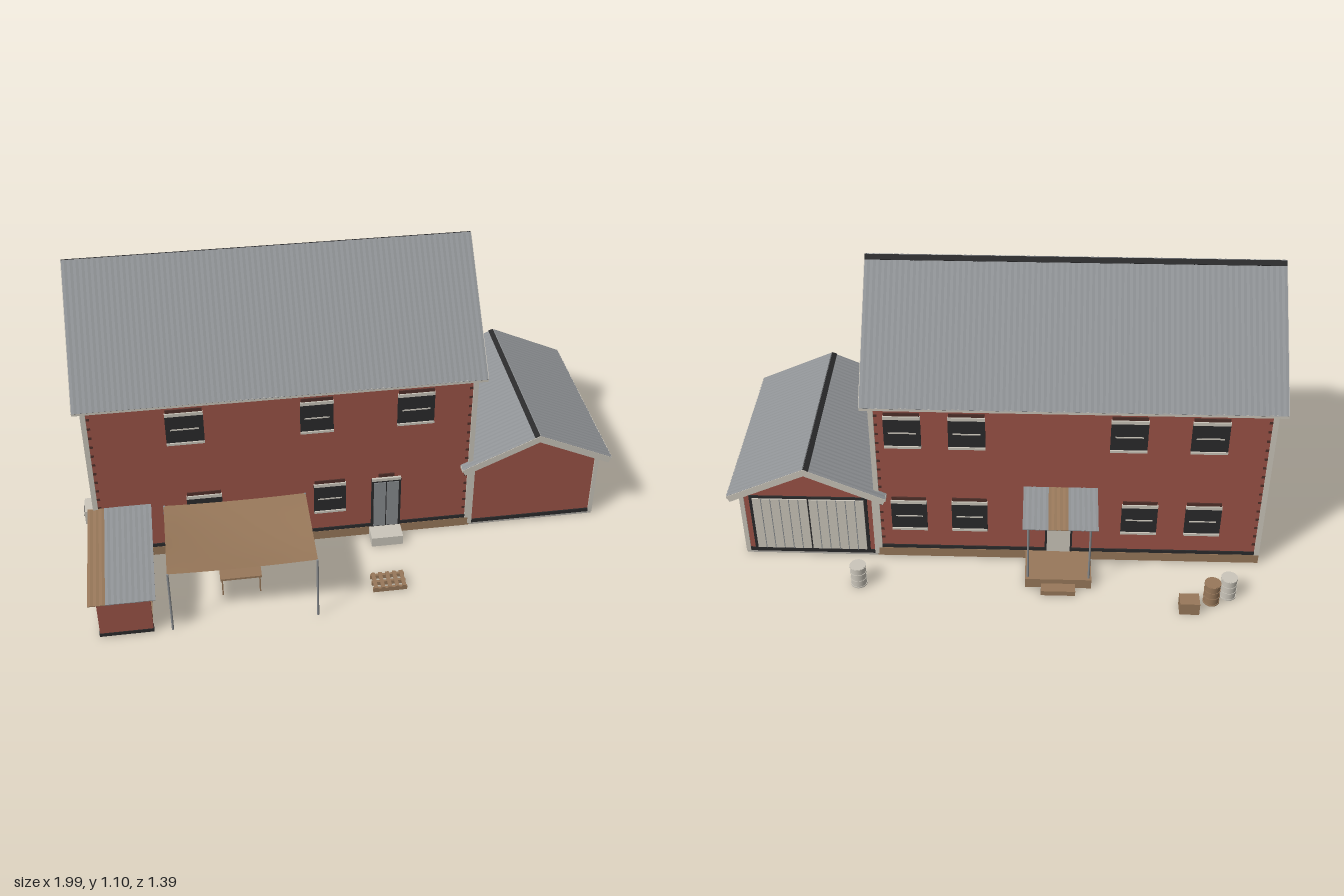
import * as THREE from 'three';

const mat = (name, hex, side = THREE.FrontSide) => {
  const m = new THREE.MeshStandardMaterial({ color: hex, side });
  m.name = name;
  return m;
};

export function createModel() {
  const brick = mat('red brick', 0x9b5347);
  const darkBrick = mat('dark brick', 0x50302a);
  const roofing = mat('grey roofing', 0x909396);
  const trim = mat('cream trim', 0xcac5ba);
  const black = mat('charcoal', 0x2a2a2b);
  const wood = mat('brown wood', 0x98785a);
  const tarp = mat('tarpaulin', 0x98785a, THREE.DoubleSide);
  const metal = mat('door metal', 0x888b8e);
  const concrete = mat('concrete', 0xb4b0a8);

  const model = new THREE.Group();
  model.name = 'farmhouse';

  const add = (parent, name, geo, m, x, y, z) => {
    const mesh = new THREE.Mesh(geo, m);
    mesh.name = name;
    mesh.position.set(x, y, z);
    parent.add(mesh);
    return mesh;
  };
  const box = (parent, name, m, w, h, d, x, y, z) =>
    add(parent, name, new THREE.BoxGeometry(w, h, d), m, x, y, z);
  // box given by its limits
  const span = (parent, name, m, x0, x1, y0, y1, z0, z1) =>
    box(parent, name, m, x1 - x0, y1 - y0, z1 - z0, (x0 + x1) / 2, (y0 + y1) / 2, (z0 + z1) / 2);
  const cyl = (parent, name, m, r, h, x, y, z, n = 16) =>
    add(parent, name, new THREE.CylinderGeometry(r, r, h, n), m, x, y, z);
  const place = (name, x, y, z, ry = 0) => {
    const g = new THREE.Group();
    g.name = name;
    g.position.set(x, y, z);
    g.rotation.y = ry;
    model.add(g);
    return g;
  };

  // ribbed sheet: a thin box whose vertices alternate up and down across its width
  const sheet = (w, d, t) => {
    const n = Math.max(2, Math.round(w / 0.01));
    let geo = new THREE.BoxGeometry(w, t, d, n, 1, 1);
    const p = geo.attributes.position;
    for (let i = 0; i < p.count; i++) {
      const k = Math.round((p.getX(i) / w + 0.5) * n);
      p.setY(i, p.getY(i) + (k % 2 ? 0.0006 : -0.0006));
    }
    geo = geo.toNonIndexed();
    geo.computeVertexNormals();
    return geo;
  };

  // gabled roof with its ridge along local x
  const gabledRoof = (g, len, run, eaveY, ridgeY) => {
    const rise = ridgeY - eaveY, a = Math.atan2(rise, run), L = Math.hypot(run, rise);
    for (const s of [1, -1]) {
      const slope = new THREE.Group();
      slope.name = 'roofSlope';
      slope.position.set(0, (eaveY + ridgeY) / 2 - 0.004, s * run / 2);
      slope.rotation.x = s * a;
      g.add(slope);
      add(slope, 'roofSheet', sheet(len, L, 0.007), roofing, 0, 0, 0);
      for (const e of [1, -1])
        box(slope, 'bargeBoard', trim, 0.012, 0.026, L, e * (len / 2 - 0.004), -0.011, 0);
      box(g, 'gutter', trim, len, 0.012, 0.01, 0, eaveY - 0.006, s * (run - 0.004));
      if (s < 0) box(slope, 'ridgeFlashing', black, len, 0.008, 0.02, 0, 0.002, L / 2 - 0.01);
    }
  };

  // gabled wall block: profile across z, extruded along x
  const gabledWalls = (g, len, half, wallY, peakY, y0) => {
    const s = new THREE.Shape([[-half, y0], [half, y0], [half, wallY], [0, peakY], [-half, wallY]]
      .map(p => new THREE.Vector2(...p)));
    const geo = new THREE.ExtrudeGeometry(s, { depth: len, bevelEnabled: false });
    geo.translate(0, 0, -len / 2).rotateY(Math.PI / 2);
    add(g, 'brickWalls', geo, brick, 0, 0, 0);
  };

  // main house
  const house = place('mainHouse', -0.24, 0, -0.085);
  gabledWalls(house, 1.4, 0.335, 0.74, 1.075, 0.04);
  gabledRoof(house, 1.455, 0.38, 0.716, 1.1);
  box(house, 'plinth', wood, 1.41, 0.038, 0.68, 0, 0.021, 0);
  box(house, 'floorUnderside', black, 1.4, 0.004, 0.67, 0, 0.002, 0);
  box(house, 'dampCourse', black, 1.408, 0.014, 0.678, 0, 0.047, 0);
  for (const sx of [-1, 1]) for (const sz of [-1, 1]) {
    box(house, 'cornerStrip', trim, 0.018, 0.7, 0.018, sx * 0.696, 0.39, sz * 0.333);
    // toothed quoins beside each corner, on both walls
    for (let i = 0; i < 16; i++) {
      const y = 0.09 + i * 0.04;
      box(house, 'quoin', darkBrick, 0.012, 0.01, 0.004, sx * 0.681, y, sz * 0.334);
      box(house, 'quoin', darkBrick, 0.004, 0.01, 0.012, sx * 0.699, y, sz * 0.318);
    }
  }

  // garage wing, ridge running front to back
  const garage = place('garage', 0.7075, 0, -0.085, Math.PI / 2);
  gabledWalls(garage, 0.67, 0.246, 0.3, 0.415, 0.01);
  gabledRoof(garage, 0.735, 0.287, 0.299, 0.43);
  box(garage, 'slab', concrete, 0.674, 0.01, 0.496, 0, 0.005, 0);
  box(garage, 'dampCourse', black, 0.678, 0.016, 0.5, 0, 0.018, 0);
  for (const x of [-0.333, 0.333]) for (const z of [-0.24, 0.242])
    box(garage, 'cornerStrip', trim, 0.016, 0.28, 0.016, x, 0.15, z);

  // windows as [x, y, z, turn, width, height]
  const F = 0.25, B = -0.42, R = Math.PI / 2;
  const windows = [
    [-0.59, 0.58, F, 0, 0.135, 0.13], [-0.12, 0.58, F, 0, 0.12, 0.13], [0.24, 0.58, F, 0, 0.135, 0.13],
    [-0.54, 0.2, F, 0, 0.13, 0.13], [-0.075, 0.2, F, 0, 0.12, 0.13],
    [0.46, 0.85, -0.085, R, 0.11, 0.1], [0.46, 0.58, -0.085, R, 0.16, 0.135], [0.954, 0.163, -0.11, R, 0.14, 0.095],
    [-0.94, 0.85, -0.085, -R, 0.11, 0.1], [-0.94, 0.58, -0.085, -R, 0.16, 0.135], [-0.94, 0.2, -0.085, -R, 0.14, 0.13],
  ];
  for (const x of [0.35, 0.125, -0.44, -0.72]) windows.push([x, 0.58, B, Math.PI, 0.13, 0.13]);
  for (const x of [0.34, 0.12, -0.495, -0.725]) windows.push([x, 0.2, B, Math.PI, 0.13, 0.13]);
  for (const [x, y, z, ry, w, h] of windows) {
    const g = place('window', x, y, z, ry);
    box(g, 'glass', black, w, h, 0.012, 0, 0, 0);
    box(g, 'glazingBar', trim, w * 0.75, 0.005, 0.004, 0, 0, 0.006);
    box(g, 'lintel', trim, w, 0.013, 0.018, 0, h / 2, 0);
    box(g, 'sill', trim, w, 0.009, 0.022, 0, -h / 2 + 0.004, 0);
    box(g, 'brickHeader', darkBrick, w * 0.96, 0.014, 0.008, 0, h / 2 + 0.013, 0);
  }

  // front double door and step
  const door = place('frontDoor', 0.138, 0.155, F);
  box(door, 'doorFrame', black, 0.112, 0.23, 0.012, 0, 0, 0);
  for (const s of [-1, 1]) box(door, 'doorLeaf', metal, 0.045, 0.21, 0.006, s * 0.0245, -0.006, 0.006);
  box(door, 'lintel', trim, 0.11, 0.012, 0.018, 0, 0.113, 0);
  box(door, 'brickHeader', darkBrick, 0.06, 0.014, 0.01, 0, 0.13, 0);
  span(model, 'frontStep', trim, 0.075, 0.195, 0, 0.04, 0.25, 0.325);

  // garage doors: two leaves with plank seams
  const gate = place('garageDoors', 0.7075, 0.15, B, Math.PI);
  box(gate, 'doorFrame', black, 0.43, 0.255, 0.01, 0, 0, 0);
  for (const s of [-1, 1]) {
    box(gate, 'doorLeaf', trim, 0.2, 0.235, 0.008, s * 0.103, 0, 0.006);
    for (let i = -2; i <= 2; i++)
      box(gate, 'plankSeam', metal, 0.003, 0.235, 0.002, s * 0.103 + i * 0.034, 0, 0.01);
  }

  // back door, deck and lean-to porch
  const backDoor = place('backDoor', -0.205, 0.145, B, Math.PI);
  box(backDoor, 'doorFrame', black, 0.1, 0.21, 0.01, 0, 0, 0);
  box(backDoor, 'doorLeaf', trim, 0.085, 0.195, 0.008, 0, -0.004, 0.006);
  const porch = place('backPorch', -0.205, 0, 0);
  span(porch, 'deck', wood, -0.12, 0.12, 0, 0.04, -0.575, -0.42);
  span(porch, 'deckStep', wood, -0.062, 0.062, 0, 0.02, -0.615, -0.575);
  for (const x of [-0.11, 0.11]) cyl(porch, 'post', metal, 0.004, 0.31, x, 0.155, -0.562, 8);
  // thin sheet from the house wall (z0, y0) down to its outer edge (z1, y1)
  const leanTo = (g, name, m, x0, x1, z0, y0, z1, y1) => {
    const dz = z1 - z0, dy = y1 - y0;
    const geo = sheet(x1 - x0, Math.hypot(dz, dy), 0.003);
    add(g, name, geo, m, (x0 + x1) / 2, (y0 + y1) / 2, (z0 + z1) / 2).rotation.x = -Math.atan(dy / dz);
  };
  for (const [m, x0, x1] of [[roofing, -0.135, -0.03], [wood, -0.03, 0.04], [roofing, 0.04, 0.13]])
    leanTo(porch, 'porchSheet', m, x0, x1, -0.42, 0.343, -0.605, 0.305);

  // wood store, open toward the yard
  const shed = place('woodStore', 0, 0, 0);
  span(shed, 'floor', wood, -0.93, -0.757, 0, 0.008, 0.25, 0.645);
  span(shed, 'frontWall', brick, -0.94, -0.755, 0.004, 0.18, 0.63, 0.65);
  const side = new THREE.Shape([[0.25, 0.004], [0.64, 0.004], [0.64, 0.182], [0.25, 0.235]]
    .map(p => new THREE.Vector2(-p[0], p[1])));
  const sideGeo = new THREE.ExtrudeGeometry(side, { depth: 0.02, bevelEnabled: false }).rotateY(R);
  add(shed, 'sideWall', sideGeo, brick, -0.94, 0, 0);
  span(shed, 'dampCourse', black, -0.942, -0.753, 0.004, 0.018, 0.628, 0.652);
  for (const [m, x0, x1] of [[wood, -0.965, -0.905], [roofing, -0.905, -0.735]])
    leanTo(shed, 'shedSheet', m, x0, x1, 0.25, 0.247, 0.69, 0.19);
  for (let row = 0; row < 3; row++) for (let i = 0; i < 8 - row; i++)
    cyl(shed, 'log', wood, 0.008, 0.12, -0.83, 0.016 + row * 0.014, 0.495 + i * 0.016 + row * 0.008, 8).rotation.z = R;

  // tarpaulin canopy sagging between four posts
  const canopy = place('canopy', -0.43, 0, 0.465);
  const cloth = new THREE.PlaneGeometry(0.52, 0.36, 12, 8).rotateX(-R);
  const cp = cloth.attributes.position;
  for (let i = 0; i < cp.count; i++) {
    const u = cp.getX(i) / 0.26, v = cp.getZ(i) / 0.18;
    cp.setY(i, -0.018 * (1 - u * u) * (1 - 0.7 * v * v));
  }
  cloth.computeVertexNormals();
  add(canopy, 'tarpaulin', cloth, tarp, 0, 0.262, 0);
  for (const x of [-0.258, 0.258]) for (const z of [-0.178, 0.182])
    cyl(canopy, 'post', metal, 0.004, 0.262, x, 0.131, z, 8);

  // yard table
  const table = place('table', -0.433, 0, 0.463);
  box(table, 'tableTop', wood, 0.15, 0.008, 0.088, 0, 0.077, 0);
  for (const x of [-0.068, 0.068]) for (const z of [-0.037, 0.037])
    box(table, 'tableLeg', wood, 0.005, 0.074, 0.005, x, 0.037, z);

  // pallet
  const pallet = place('pallet', 0.103, 0, 0.53);
  for (const z of [-0.034, 0, 0.034]) box(pallet, 'bearer', wood, 0.125, 0.016, 0.01, 0, 0.01, z);
  for (let i = 0; i < 5; i++) box(pallet, 'slat', wood, 0.014, 0.006, 0.08, (i - 2) * 0.026, 0.021, 0);

  // barrels and crate
  for (const [x, z, m] of [[-0.815, -0.595, trim], [-0.753, -0.625, wood], [0.518, -0.573, trim]]) {
    const b = place('barrel', x, 0, z);
    cyl(b, 'drum', m, 0.028, 0.09, 0, 0.045, 0);
    for (const y of [0.004, 0.032, 0.06, 0.087]) cyl(b, 'hoop', m, 0.03, 0.005, 0, y, 0);
  }
  span(model, 'crate', wood, -0.705, -0.635, 0, 0.05, -0.695, -0.64);

  // meter cabinet on the garage, cooling unit on the far gable
  const meter = place('meterCabinet', 0.966, 0.137, 0.055, R);
  box(meter, 'cabinet', metal, 0.064, 0.082, 0.024, 0, 0, 0);
  box(meter, 'dial', black, 0.01, 0.014, 0.004, 0, 0.012, 0.012);
  const cooler = place('coolingUnit', -0.97, 0.078, 0.055, -R);
  box(cooler, 'casing', trim, 0.08, 0.06, 0.05, 0, 0, 0);
  cyl(cooler, 'fan', black, 0.022, 0.006, 0, 0, 0.025, 20).rotation.x = R;

  return model;
}
